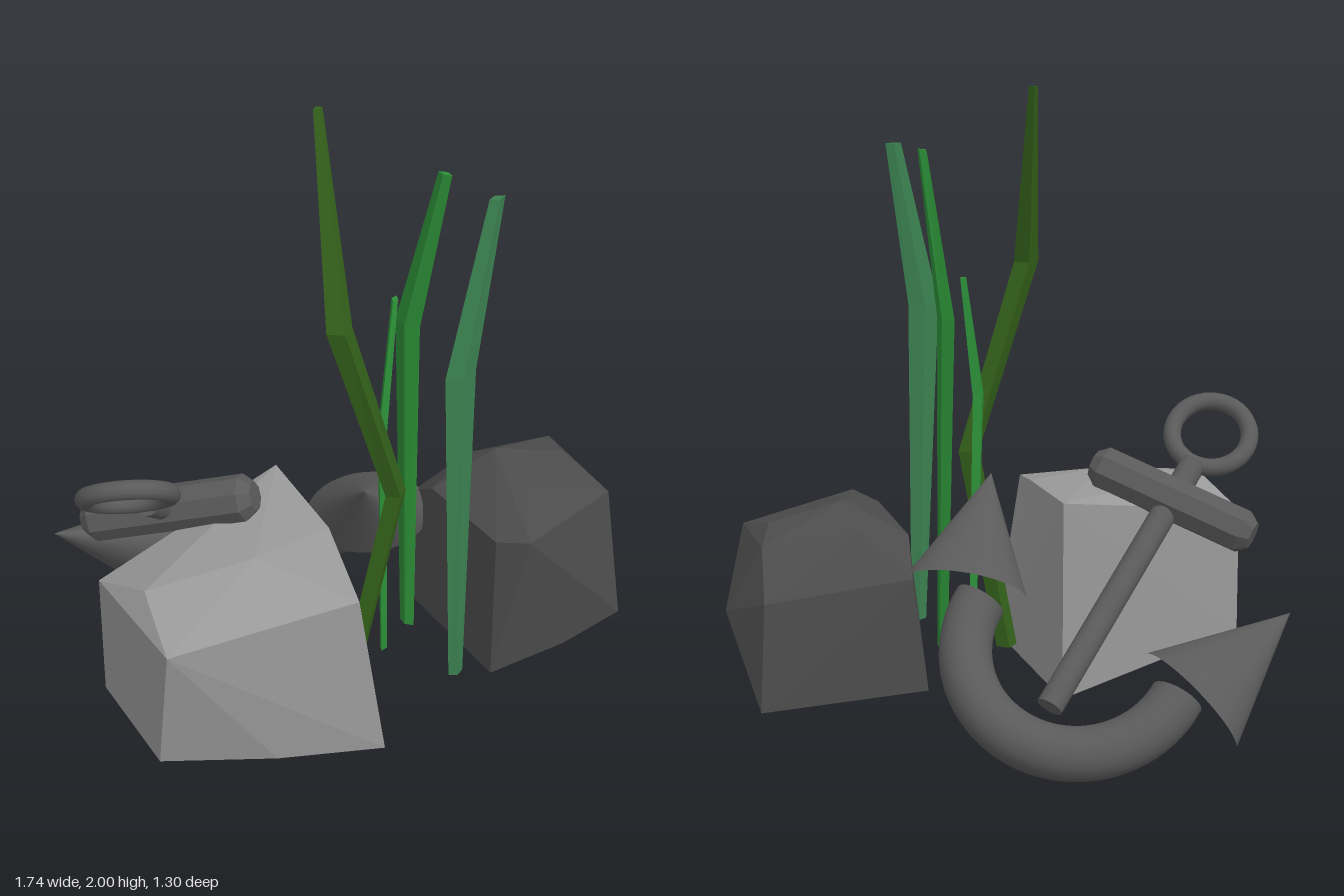
import * as THREE from 'three';
import { ConvexGeometry } from 'three/addons/geometries/ConvexGeometry.js';

const mat = (color, flatShading = false) => new THREE.MeshStandardMaterial({ color, flatShading });

function add(parent, name, geometry, material, x = 0, y = 0, z = 0) {
  const mesh = new THREE.Mesh(geometry, material);
  mesh.name = name;
  mesh.position.set(x, y, z);
  parent.add(mesh);
  return mesh;
}

// Faceted boulder spanned by its corner points
const rock = (corners) => new ConvexGeometry(corners.map((c) => new THREE.Vector3(...c)));

// Four-sided leaf: sections [x, y, z, halfWidth, halfThickness] from tip to root,
// with its broad side turned about y by angle
function blade(sections, angle) {
  const rows = sections.length - 1;
  const geo = new THREE.CylinderGeometry(1, 1, 1, 4, rows);
  const p = geo.attributes.position;
  const c = Math.cos(angle), s = Math.sin(angle);
  for (let i = 0; i < p.count; i++) {
    const [x, y, z, w, t] = sections[Math.round((0.5 - p.getY(i)) * rows)];
    const u = p.getX(i) * w, v = p.getZ(i) * t;
    p.setXYZ(i, x + u * c + v * s, y, z - u * s + v * c);
  }
  geo.computeVertexNormals();
  return geo;
}

// Built upright in its own frame: shank along y, arms and stock along x
function createAnchor() {
  const anchor = new THREE.Group();
  anchor.name = 'anchor';
  const iron = mat(0x5a5a5a);

  add(anchor, 'ring', new THREE.TorusGeometry(0.126, 0.029, 12, 40), iron, 0, 0.274, 0);
  add(anchor, 'shank', new THREE.CylinderGeometry(0.042, 0.042, 0.96, 20), iron, 0, -0.33, 0);

  // Crossbar with chamfered ends
  const profile = [[0, -0.285], [0.045, -0.285], [0.073, -0.25], [0.073, 0.25], [0.045, 0.285], [0, 0.285]]
    .map(([r, y]) => new THREE.Vector2(r, y));
  const stock = add(anchor, 'stock', new THREE.LatheGeometry(profile, 8), mat(0x5a5a5a, true));
  stock.rotation.z = Math.PI / 2;

  // Curved arms
  const arms = add(anchor, 'arms', new THREE.TorusGeometry(0.345, 0.083, 20, 40, Math.PI), iron, 0.02, -0.6, 0);
  arms.rotation.z = Math.PI;

  // Flattened hollow flukes, leaning outward
  for (const side of [-1, 1]) {
    const fluke = add(anchor, side < 0 ? 'rightFluke' : 'leftFluke',
      new THREE.ConeGeometry(0.2, 0.43, 40, 1, true), iron, 0.03 + side * 0.465, -0.39, 0);
    fluke.rotation.z = -side * 0.33;
    fluke.scale.z = 0.66;
  }

  // Lean the anchor back against the pale rock
  const up = new THREE.Vector3(-0.669, 0.63, 0.4).normalize();
  const across = new THREE.Vector3(0.694, 0.298, 0.655);
  across.addScaledVector(up, -across.dot(up)).normalize();
  const normal = new THREE.Vector3().crossVectors(across, up);
  anchor.quaternion.setFromRotationMatrix(new THREE.Matrix4().makeBasis(across, up, normal));
  anchor.position.set(-0.54, 0.695, -0.012);
  return anchor;
}

export function createModel() {
  const model = new THREE.Group();
  model.name = 'anchorAmongRocks';
  model.add(createAnchor());

  // Pale rock
  add(model, 'paleRock', rock([
    [-0.165, 0.06, 0.64], [-0.165, 0.06, -0.015], [-0.83, 0.17, 0.45], [-0.83, 0.18, 0.08],
    [-0.165, 0.72, -0.015], [-0.18, 0.7, 0.33], [-0.245, 0.635, 0.61], [-0.83, 0.62, 0.535],
    [-0.78, 0.68, 0.3], [-0.45, 0.71, 0.36], [-0.83, 0.6, 0.09], [-0.25, 0.2, 0.62],
    [-0.5, 0.12, 0.57],
  ]), mat(0x999999, true));

  // Dark rock
  add(model, 'darkRock', rock([
    [0.265, 0.125, 0.58], [0.265, 0.125, 0.05], [0.805, 0.125, 0.05], [0.77, 0.165, 0.58],
    [0.55, 0.125, 0.58], [0.345, 0.635, 0.635], [0.28, 0.61, 0.55], [0.28, 0.6, 0.2],
    [0.31, 0.5, 0.06], [0.475, 0.72, 0.26], [0.45, 0.65, 0.15], [0.71, 0.655, 0.3],
    [0.76, 0.62, 0.17], [0.865, 0.4, 0.25], [0.78, 0.47, 0.07], [0.75, 0.6, 0.5],
    [0.46, 0.69, 0.42],
  ]), mat(0x4c4c4c, true));

  // Seaweed
  const leaves = [
    ['oliveBlade', 0x33601a, 0, [
      [-0.14, 2.0, 0.2, 0.015, 0.01], [-0.19, 1.42, 0.4, 0.042, 0.03],
      [0.01, 0.8, 0.4, 0.036, 0.03], [-0.1, 0.125, 0.34, 0.036, 0.03]]],
    ['seaGreenBlade', 0x3b8050, 0, [
      [0.205, 1.8, 0.565, 0.026, 0.013], [0.11, 1.27, 0.565, 0.052, 0.017],
      [0.14, 0.17, 0.565, 0.026, 0.013]]],
    ['shortBlade', 0x2c9038, 0.7, [
      [0.06, 1.4, 0.295, 0.018, 0.01], [-0.005, 1.0, 0.345, 0.034, 0.014],
      [0.025, 0.155, 0.33, 0.022, 0.012]]],
    ['brightBlade', 0x2c9038, -1.2, [
      [0.168, 1.8, 0.37, 0.023, 0.011], [0.13, 1.28, 0.26, 0.044, 0.016],
      [0.145, 0.17, 0.28, 0.027, 0.012]]],
  ];
  for (const [name, color, angle, sections] of leaves) {
    add(model, name, blade(sections, angle), mat(color, true));
  }
  return model;
}
